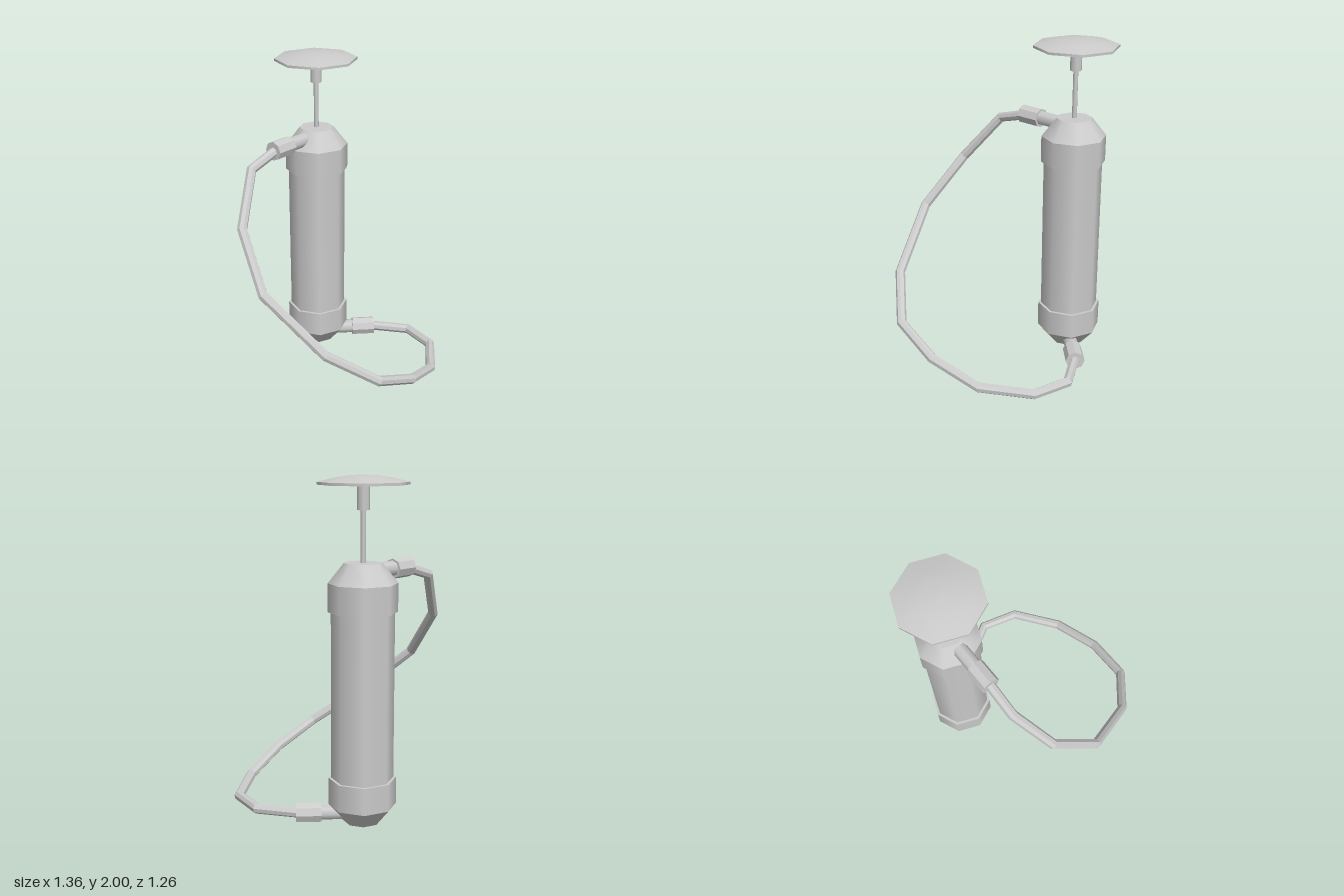
import * as THREE from 'three';
import { mergeGeometries } from 'three/addons/utils/BufferGeometryUtils.js';

const SIDES = 8;
const smooth = new THREE.MeshStandardMaterial({ color: 0xcccccc });
const faceted = new THREE.MeshStandardMaterial({ color: 0xcccccc, flatShading: true });

function add(parent, name, geometry, material) {
  const mesh = new THREE.Mesh(geometry, material);
  mesh.name = name;
  parent.add(mesh);
  return mesh;
}

// Turned shape: smooth around, with a sharp edge at every profile point.
function turned(profile) {
  const pts = profile.map(([r, y]) => new THREE.Vector2(r, y));
  return mergeGeometries(pts.slice(1).map((p, i) => new THREE.LatheGeometry([pts[i], p], SIDES)));
}

// Octagonal rod between two points.
function rod(parent, name, a, b, radius, material) {
  const dir = b.clone().sub(a);
  const mesh = add(parent, name, new THREE.CylinderGeometry(radius, radius, dir.length(), SIDES), material);
  mesh.position.copy(a).add(b).multiplyScalar(0.5);
  mesh.quaternion.setFromUnitVectors(new THREE.Vector3(0, 1, 0), dir.normalize());
}

// Straight runs with one ring at each bend.
class BentPath extends THREE.Curve {
  constructor(points) { super(); this.points = points; }
  getPoint(t, target = new THREE.Vector3()) {
    const f = t * (this.points.length - 1);
    const i = Math.min(Math.floor(f + 1e-6), this.points.length - 2);
    return target.lerpVectors(this.points[i], this.points[i + 1], f - i);
  }
  getPointAt(u, target) { return this.getPoint(u, target); }
  getTangentAt(u, target = new THREE.Vector3()) {
    const p = this.points, last = p.length - 1, i = Math.round(u * last);
    target.set(0, 0, 0);
    if (i > 0) target.add(p[i].clone().sub(p[i - 1]).normalize());
    if (i < last) target.add(p[i + 1].clone().sub(p[i]).normalize());
    return target.normalize();
  }
}

export function createModel() {
  const model = new THREE.Group();
  model.name = 'handPump';
  const v = (x, y, z) => new THREE.Vector3(x, y, z);

  // Barrel, caps and plunger share one upright axis
  const pump = new THREE.Group();
  pump.name = 'pump';
  pump.position.set(0.265, 0, -0.38);
  model.add(pump);

  add(pump, 'barrel', turned([[0.18, 0.25], [0.18, 1.27]]), smooth);
  add(pump, 'bottomCap', turned([
    [0, 0.01], [0.108, 0.01], [0.197, 0.115], [0.197, 0.275], [0.17, 0.275],
  ]), smooth);
  add(pump, 'topCap', turned([
    [0.17, 1.245], [0.197, 1.245], [0.197, 1.407], [0.108, 1.52], [0, 1.52],
  ]), smooth);
  rod(pump, 'plungerRod', v(0, 0.003, 0), v(0, 1.83, 0), 0.015, smooth);
  rod(pump, 'handleSleeve', v(0, 1.81, 0), v(0, 1.95, 0), 0.035, smooth);

  // Handle: flat underside, thin rim, shallow dome
  add(pump, 'handleUnderside', turned([[0, 1.947], [0.256, 1.947], [0.256, 1.962]]), smooth);
  const dome = [[0.256, 1.962], [0.16, 1.985], [0.08, 1.997], [0, 2]];
  add(pump, 'handleDome', new THREE.LatheGeometry(dome.map((p) => new THREE.Vector2(...p)), SIDES), smooth);

  // Outlet pipes and hose couplings
  rod(model, 'topOutlet', v(0.22, 1.465, -0.38), v(-0.01, 1.465, -0.38), 0.045, smooth);
  rod(model, 'topCoupling', v(0.01, 1.463, -0.38), v(-0.135, 1.463, -0.38), 0.059, faceted);
  rod(model, 'bottomOutlet', v(0.3, 0.063, -0.345), v(0.45, 0.063, -0.195), 0.045, smooth);
  rod(model, 'bottomCoupling', v(0.433, 0.063, -0.212), v(0.537, 0.063, -0.108), 0.059, faceted);

  // Hose swinging from the top coupling around to the bottom one
  const path = new BentPath([
    v(-0.1, 1.465, -0.38), v(-0.325, 1.4, -0.38), v(-0.54, 1.12, -0.26),
    v(-0.65, 0.82, 0), v(-0.525, 0.5, 0.36), v(-0.295, 0.305, 0.57),
    v(0, 0.185, 0.6), v(0.31, 0.085, 0.53), v(0.58, 0.063, 0.34),
    v(0.648, 0.063, 0.11), v(0.52, 0.063, -0.125),
  ]);
  add(model, 'hose', new THREE.TubeGeometry(path, path.points.length - 1, 0.031, SIDES, false), faceted);

  return model;
}
